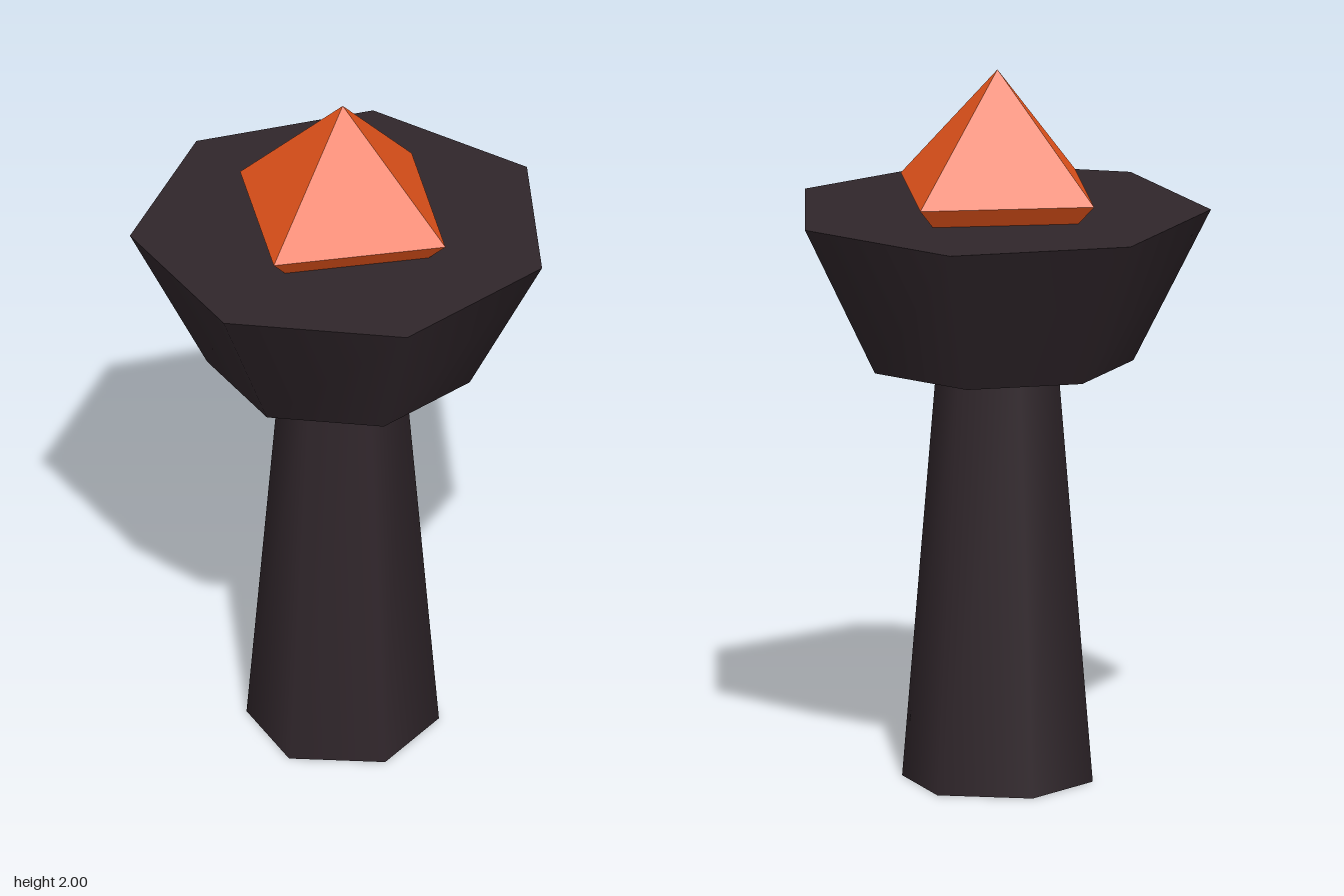
import * as THREE from 'three';

export function createModel() {
  const model = new THREE.Group();
  const centreZ = -0.03;
  const dark = new THREE.MeshStandardMaterial({ color: 0x30262b });
  const orange = new THREE.MeshStandardMaterial({ color: 0xf0581d, flatShading: true });

  function add(name, geometry, material, y) {
    const mesh = new THREE.Mesh(geometry, material);
    mesh.name = name;
    mesh.position.set(0, y, centreZ);
    model.add(mesh);
  }

  // Tapered six-sided post
  add('post', new THREE.CylinderGeometry(0.168, 0.265, 1.18, 6), dark, 0.59);

  // Flared seven-sided bowl, closed on top
  add('bowl', new THREE.CylinderGeometry(0.587, 0.374, 0.425, 7), dark, 1.3925);

  // Faceted flame half sunk into the bowl
  add('flame', new THREE.OctahedronGeometry(0.34), orange, 1.66);

  return model;
}
